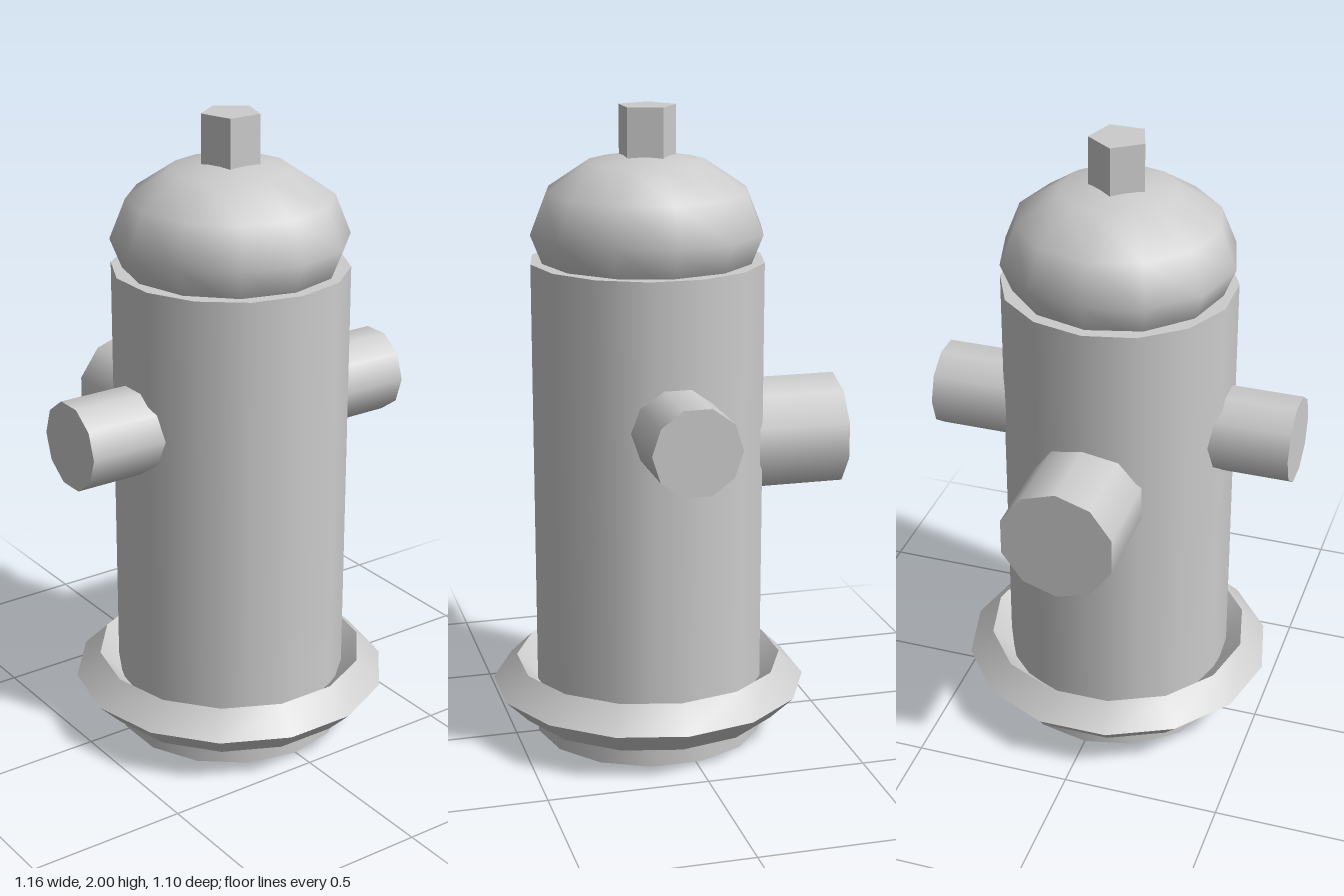
import * as THREE from 'three';
import { toCreasedNormals } from 'three/addons/utils/BufferGeometryUtils.js';

export function createModel() {
  const group = new THREE.Group();
  const grey = new THREE.MeshStandardMaterial({ color: 0xcccccc });
  grey.name = 'castGrey';
  const cz = 0.062; // the barrel axis sits forward because of the rear outlet

  function add(name, geometry, x, y, z) {
    const mesh = new THREE.Mesh(geometry, grey);
    mesh.name = name;
    mesh.position.set(x, y, z);
    group.add(mesh);
  }
  // smooth around the curve, sharp at the rims
  const crease = (geometry) => toCreasedNormals(geometry, 0.7);

  // barrel
  add('barrel', new THREE.CylinderGeometry(0.365, 0.365, 1.53, 14), 0, 0.765, cz);

  // base flange: ring with a diamond section
  const flange = new THREE.TorusGeometry(0.425, 0.077, 4, 14).rotateX(Math.PI / 2);
  add('baseFlange', crease(flange), 0, 0.156, cz);

  // flattened dome cap
  const dome = new THREE.SphereGeometry(0.365, 12, 6).scale(1, 0.245 / 0.365, 1);
  add('dome', dome, 0, 1.62, cz);

  // five-sided operating nut, one corner to the back
  const nut = new THREE.CylinderGeometry(0.092, 0.092, 0.18, 5).rotateY(Math.PI);
  add('topNut', crease(nut), 0, 1.91, cz);

  // side outlets, one pipe running through the barrel
  const sides = new THREE.CylinderGeometry(0.137, 0.137, 1.16, 10).rotateZ(Math.PI / 2);
  add('sideOutlets', sides, 0, 1.07, cz - 0.002);

  // large rear outlet
  const rear = new THREE.CylinderGeometry(0.182, 0.182, 0.61, 10).rotateX(Math.PI / 2);
  add('rearOutlet', rear, 0, 0.95, -0.245);

  return group;
}
